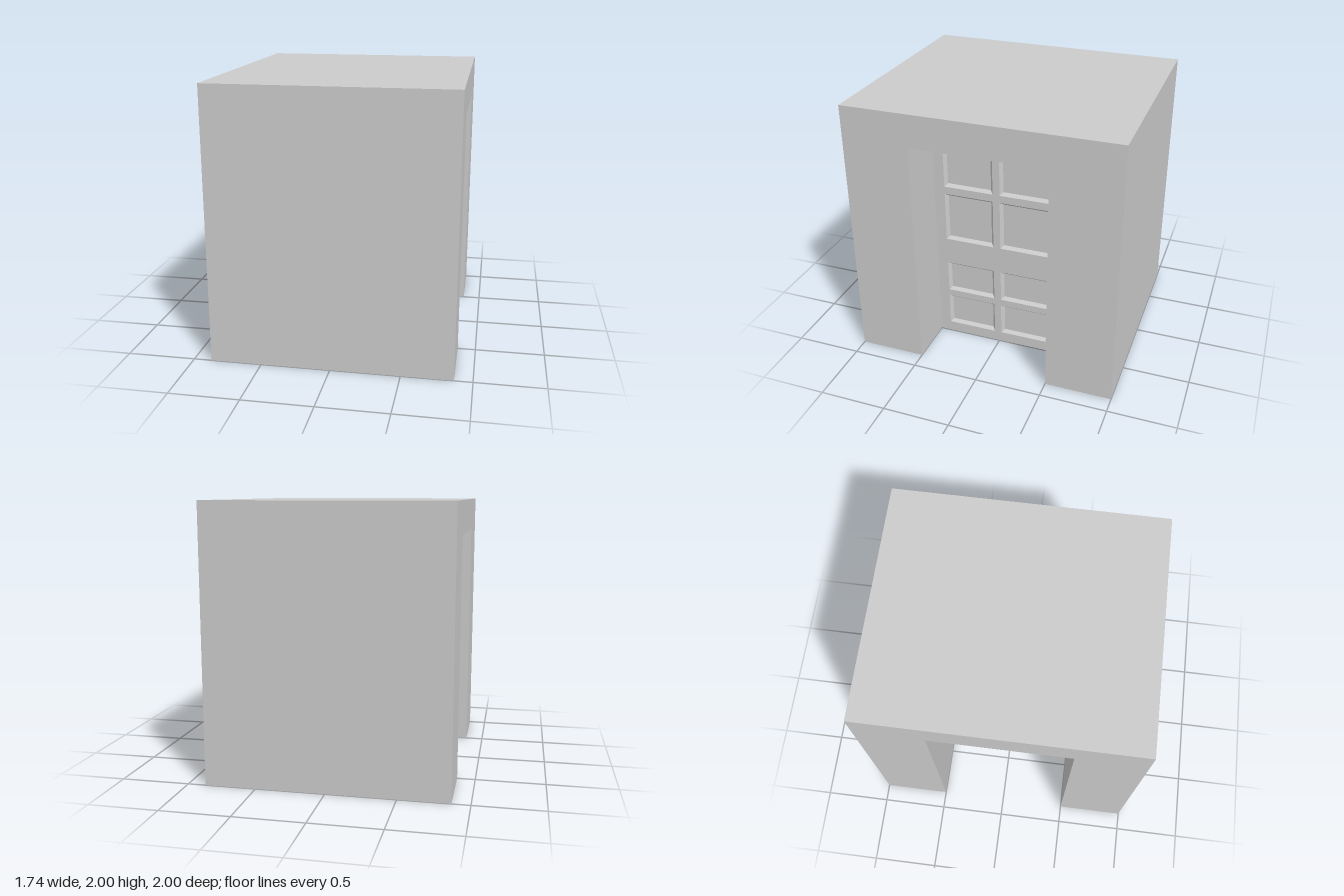
import * as THREE from 'three';

const material = new THREE.MeshStandardMaterial({ color: 0xcccccc, flatShading: true });

const HALF_X = 0.87, HALF_Z = 1, HEIGHT = 2;
const OPEN_HALF = 0.5, OPEN_TOP = 1.757;
const DOOR_TOP = 1.747, DOOR_HALF = 0.499;
const DOOR_FRONT = 0.495, DOOR_BACK = 0.35;
const RECESS = 0.025, BEVEL = 0.021;

// Panel columns (across the door) and rows (up the door)
const COLUMNS = [[-0.418, -0.038], [0.016, 0.397]];
const ROWS = [[0.08, 0.338], [0.391, 0.643], [0.853, 1.239], [1.298, 1.684]];

function polygon(points, PathType) {
  return new PathType(points.map(([x, y]) => new THREE.Vector2(x, y)));
}

function rect(x0, x1, y0, y1) {
  return [[x0, y0], [x1, y0], [x1, y1], [x0, y1]];
}

function addMesh(parent, name, geometry) {
  const mesh = new THREE.Mesh(geometry, material);
  mesh.name = name;
  parent.add(mesh);
  return mesh;
}

// Four sloping faces from the panel's outer edge down to its sunken field
function bevelRing(x0, x1, y0, y1) {
  const outer = rect(x0, x1, y0, y1).map((p) => [...p, RECESS]);
  const inner = rect(x0 + BEVEL, x1 - BEVEL, y0 + BEVEL, y1 - BEVEL).map((p) => [...p, 0]);
  const positions = [];
  for (let i = 0; i < 4; i++) {
    const j = (i + 1) % 4;
    for (const p of [outer[i], outer[j], inner[j], outer[i], inner[j], inner[i]]) positions.push(...p);
  }
  const geometry = new THREE.BufferGeometry();
  geometry.setAttribute('position', new THREE.Float32BufferAttribute(positions, 3));
  geometry.computeVertexNormals();
  return geometry;
}

// Rails and stiles with bevelled panels, on the +x (side 1) or -x (side -1) face
function doorFace(side) {
  const face = new THREE.Group();
  face.name = side > 0 ? 'doorOuterFace' : 'doorInnerFace';
  const frame = polygon(rect(-DOOR_HALF, DOOR_HALF, 0, DOOR_TOP), THREE.Shape);
  for (const column of COLUMNS) {
    const [x0, x1] = column.map((x) => x * side).sort((a, b) => a - b);
    for (const [y0, y1] of ROWS) {
      frame.holes.push(polygon(rect(x0, x1, y0, y1), THREE.Path));
      addMesh(face, 'panelBevel', bevelRing(x0, x1, y0, y1));
    }
  }
  addMesh(face, 'railsAndStiles', new THREE.ExtrudeGeometry(frame, { depth: RECESS, bevelEnabled: false }));
  face.rotation.y = side * Math.PI / 2;
  face.position.x = side > 0 ? DOOR_FRONT - RECESS : DOOR_BACK + RECESS;
  return face;
}

export function createModel() {
  const model = new THREE.Group();
  model.name = 'doorway';

  // Thick wall block with the passage cut through along x
  const wallShape = polygon([
    [-HALF_Z, 0], [-OPEN_HALF, 0], [-OPEN_HALF, OPEN_TOP], [OPEN_HALF, OPEN_TOP],
    [OPEN_HALF, 0], [HALF_Z, 0], [HALF_Z, HEIGHT], [-HALF_Z, HEIGHT],
  ], THREE.Shape);
  const wall = new THREE.ExtrudeGeometry(wallShape, { depth: 2 * HALF_X, bevelEnabled: false });
  wall.translate(0, 0, -HALF_X).rotateY(Math.PI / 2);
  addMesh(model, 'wall', wall);

  // Door: solid core with a panelled layer on each side
  const door = new THREE.Group();
  door.name = 'door';
  const core = new THREE.BoxGeometry(DOOR_FRONT - DOOR_BACK - 2 * RECESS, DOOR_TOP, 2 * DOOR_HALF);
  addMesh(door, 'doorCore', core).position.set((DOOR_FRONT + DOOR_BACK) / 2, DOOR_TOP / 2, 0);
  door.add(doorFace(1), doorFace(-1));
  model.add(door);

  return model;
}
